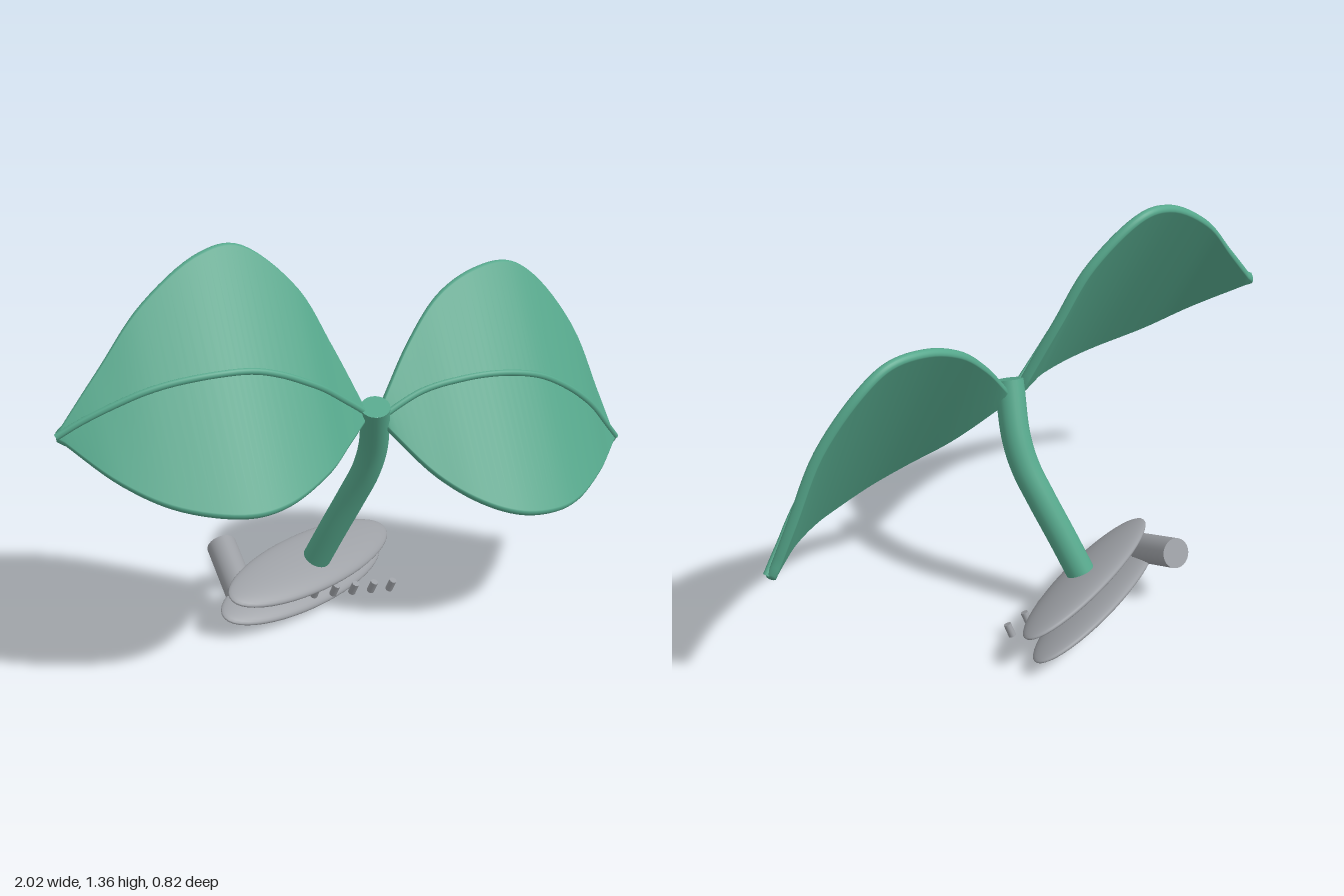
import * as THREE from 'three';

const V = (x, y, z) => new THREE.Vector3(x, y, z);

// Leaf stations: x, upper edge y, z, lower edge y, z, midrib y
const RIGHT_LEAF = [
  [-1, 0.895, 0.135, 0.88, 0.14, 0.888], [-0.85, 1.06, 0.08, 0.765, 0.29, 0.955],
  [-0.7, 1.225, 0.03, 0.69, 0.365, 1.005], [-0.5, 1.35, -0.02, 0.648, 0.408, 1.025],
  [-0.37, 1.36, -0.04, 0.65, 0.385, 1.01], [-0.2, 1.22, -0.01, 0.69, 0.29, 0.935],
  [-0.1, 1.03, 0.03, 0.73, 0.2, 0.865], [0, 0.805, 0.09, 0.77, 0.105, 0.79],
];
const LEFT_LEAF = [
  [0.06, 0.81, 0.085, 0.745, 0.11, 0.775], [0.2, 0.98, -0.01, 0.59, 0.23, 0.83],
  [0.33, 1.1, -0.075, 0.505, 0.305, 0.852], [0.46, 1.16, -0.105, 0.455, 0.33, 0.855],
  [0.6, 1.17, -0.125, 0.432, 0.305, 0.83], [0.7, 1.11, -0.125, 0.435, 0.26, 0.785],
  [0.83, 0.93, -0.09, 0.46, 0.155, 0.69], [0.92, 0.7, -0.06, 0.48, 0.06, 0.59],
  [0.99, 0.51, -0.03, 0.497, -0.02, 0.505],
];

// Thick ruled sheet between the two edge curves, with rounded rims, plus a raised midrib
function makeLeaf(rows, name, material) {
  const spline = (f) => new THREE.CatmullRomCurve3(rows.map(f));
  const upper = spline((r) => V(r[0], r[1], r[2]));
  const lower = spline((r) => V(r[0], r[3], r[4]));
  const ribLine = spline((r) => V(r[0], r[5], 0));
  const middle = (t) => upper.getPoint(t).add(lower.getPoint(t)).multiplyScalar(0.5);

  const steps = 48, sides = 20, radius = 0.016;
  const positions = [], index = [], ribPoints = [];
  for (let i = 0; i <= steps; i++) {
    const t = i / steps;
    const u = upper.getPoint(t), l = lower.getPoint(t), c = middle(t);
    const across = u.clone().sub(l);
    const half = Math.max(across.length() / 2, radius);
    across.normalize();
    const along = middle(Math.min(1, t + 0.01)).sub(middle(Math.max(0, t - 0.01))).normalize();
    const normal = along.cross(across).normalize();
    for (let j = 0; j < sides; j++) {
      const a = ((j + 0.5) / sides) * Math.PI * 2;
      const w = Math.sign(Math.cos(a)) * (half - radius) + radius * Math.cos(a);
      const p = c.clone().addScaledVector(across, w).addScaledVector(normal, radius * Math.sin(a));
      positions.push(p.x, p.y, p.z);
    }
    const f = THREE.MathUtils.clamp((u.y - ribLine.getPoint(t).y) / (u.y - l.y), 0, 1);
    if (i % 3 === 0) ribPoints.push(u.clone().lerp(l, f).addScaledVector(normal, radius));
  }
  for (let i = 0; i < steps; i++) {
    for (let j = 0; j < sides; j++) {
      const k = (j + 1) % sides, a = i * sides, b = a + sides;
      index.push(a + j, a + k, b + k, a + j, b + k, b + j);
    }
  }
  // End caps
  const start = positions.length / 3;
  for (const t of [0, 1]) positions.push(...middle(t).toArray());
  for (let j = 0; j < sides; j++) {
    const k = (j + 1) % sides, e = steps * sides;
    index.push(start, k, j, start + 1, e + j, e + k);
  }
  const geometry = new THREE.BufferGeometry();
  geometry.setAttribute('position', new THREE.Float32BufferAttribute(positions, 3));
  geometry.setIndex(index);
  geometry.computeVertexNormals();

  const leaf = new THREE.Group();
  leaf.name = name;
  const blade = new THREE.Mesh(geometry, material);
  blade.name = 'leafBlade';
  leaf.add(blade, makeRod(ribPoints, 0.011, 48, 8, 'midrib', material));
  return leaf;
}

// Curved rod with flat ends
function makeRod(points, radius, steps, sides, name, material) {
  const curve = new THREE.CatmullRomCurve3(points);
  const rod = new THREE.Group();
  rod.name = name;
  const body = new THREE.Mesh(new THREE.TubeGeometry(curve, steps, radius, sides), material);
  body.name = name + 'Body';
  rod.add(body);
  for (const t of [0, 1]) {
    const cap = new THREE.Mesh(new THREE.CircleGeometry(radius, sides), material);
    cap.name = name + 'End';
    cap.position.copy(curve.getPoint(t));
    cap.quaternion.setFromUnitVectors(V(0, 0, 1), curve.getTangent(t).multiplyScalar(t ? 1 : -1));
    rod.add(cap);
  }
  return rod;
}

export function createModel() {
  const model = new THREE.Group();
  model.name = 'sprout';
  const green = new THREE.MeshStandardMaterial({ color: 0x56a88c });
  green.name = 'leafGreen';
  const gray = new THREE.MeshStandardMaterial({ color: 0x9b9ea3 });
  gray.name = 'baseGray';

  // Leaves and stem
  model.add(makeLeaf(RIGHT_LEAF, 'rightLeaf', green), makeLeaf(LEFT_LEAF, 'leftLeaf', green));
  const stemPoints = [
    V(-0.07, 0.17, -0.16), V(-0.03, 0.3, -0.105), V(0.015, 0.44, -0.045),
    V(0.045, 0.55, 0.005), V(0.053, 0.65, 0.047), V(0.03, 0.82, 0.12),
  ];
  model.add(makeRod(stemPoints, 0.048, 40, 24, 'stem', green));

  // Tilted frame shared by the discs and pegs
  const axis = V(0.2, 0.9, 0.38).normalize();
  const side = V(0.401, -0.429, 0.809);
  const long = axis.clone().cross(side).normalize();
  side.crossVectors(long, axis);
  const tilt = new THREE.Quaternion().setFromRotationMatrix(
    new THREE.Matrix4().makeBasis(long, axis, side));

  // Two lens-shaped discs
  const discGeometry = new THREE.SphereGeometry(1, 48, 24);
  const discs = { upperDisc: V(-0.085, 0.157, -0.17), lowerDisc: V(-0.101, 0.077, -0.204) };
  for (const [name, center] of Object.entries(discs)) {
    const disc = new THREE.Mesh(discGeometry, gray);
    disc.name = name;
    disc.scale.set(0.387, 0.03, 0.12);
    disc.position.copy(center);
    disc.quaternion.copy(tilt);
    model.add(disc);
  }

  // Row of small pegs
  const pegGeometry = new THREE.CylinderGeometry(0.013, 0.013, 0.045, 12);
  for (let i = 0; i < 7; i++) {
    const peg = new THREE.Mesh(pegGeometry, gray);
    peg.name = 'peg';
    peg.position.set(0.2 - 0.074 * i, 0.03 + 0.0125 * i, -0.133 + 0.009 * i);
    peg.quaternion.copy(tilt);
    model.add(peg);
  }

  // Slanted post at the back
  const from = V(-0.364, 0.129, -0.11), to = V(-0.364, 0.215, -0.296);
  const post = new THREE.Mesh(
    new THREE.CylinderGeometry(0.051, 0.051, from.distanceTo(to), 28), gray);
  post.name = 'post';
  post.position.copy(from).lerp(to, 0.5);
  post.quaternion.setFromUnitVectors(V(0, 1, 0), to.clone().sub(from).normalize());
  model.add(post);

  return model;
}
